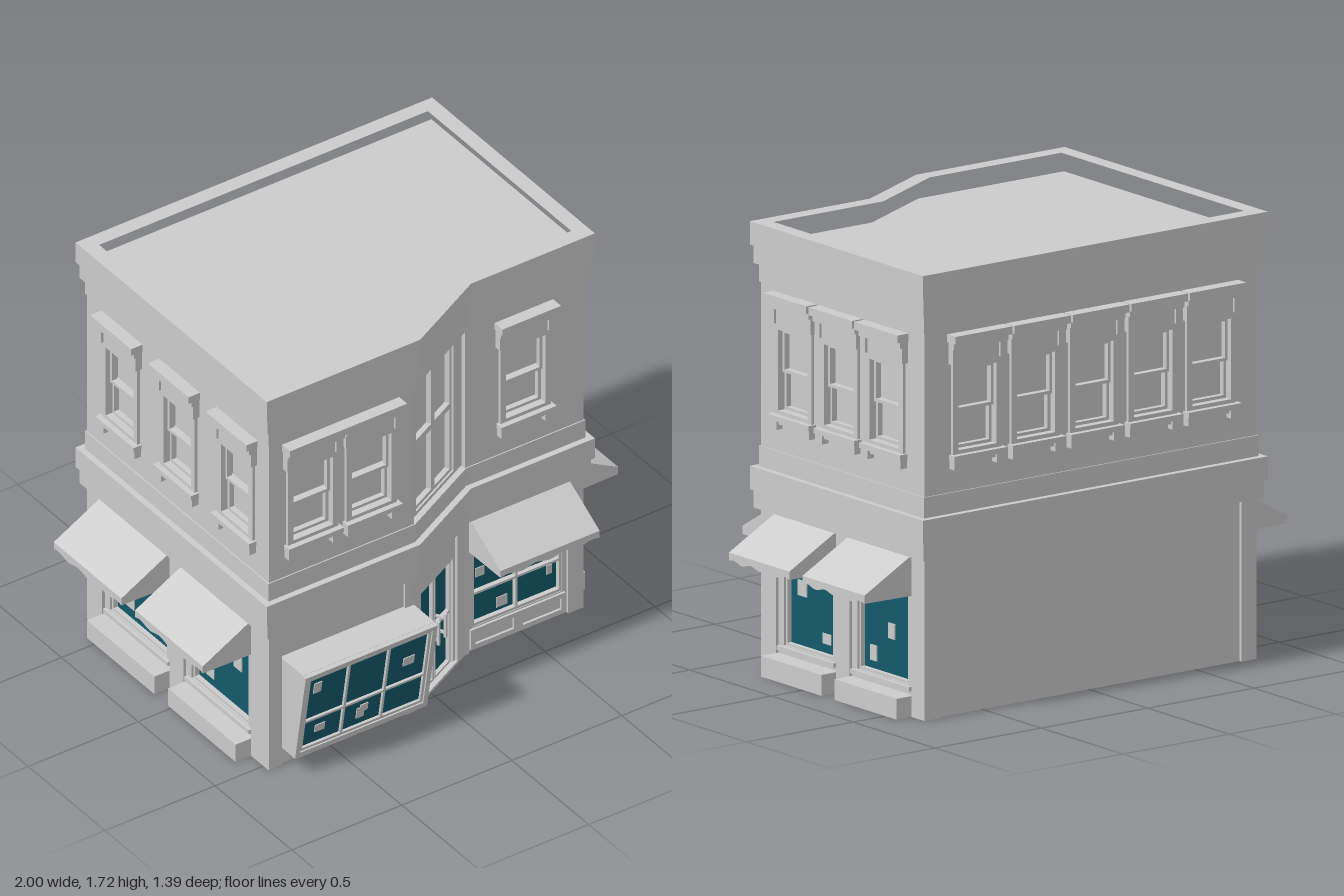
import * as THREE from 'three';

const grey = new THREE.MeshStandardMaterial({ color: 0xcccccc });
const sheet = new THREE.MeshStandardMaterial({ color: 0xcccccc, side: THREE.DoubleSide });
const teal = new THREE.MeshStandardMaterial({ color: 0x14596a });

function add(parent, name, geo, mat = grey) {
  const m = new THREE.Mesh(geo, mat);
  m.name = name;
  parent.add(m);
  return m;
}

function box(parent, name, x0, x1, y0, y1, z0, z1, mat = grey) {
  const g = new THREE.BoxGeometry(x1 - x0, y1 - y0, z1 - z0);
  g.translate((x0 + x1) / 2, (y0 + y1) / 2, (z0 + z1) / 2);
  return add(parent, name, g, mat);
}

const rect = (C, [x0, x1, y0, y1]) => new C([[x0, y0], [x1, y0], [x1, y1], [x0, y1]].map(p => new THREE.Vector2(...p)));

// flat plate with rectangular holes, from z0 to z1
function plate(parent, name, r, holes, z0, z1) {
  const s = rect(THREE.Shape, r);
  s.holes = holes.map(h => rect(THREE.Path, h));
  const g = new THREE.ExtrudeGeometry(s, { depth: z1 - z0, bevelEnabled: false });
  g.translate(0, 0, z0);
  return add(parent, name, g);
}

// glazing frame with cols x rows openings
function grid(parent, name, [x0, x1, y0, y1], cols, rows, border, bar, z0, z1) {
  const w = (x1 - x0 - 2 * border - (cols - 1) * bar) / cols;
  const h = (y1 - y0 - 2 * border - (rows - 1) * bar) / rows;
  const holes = [];
  for (let i = 0; i < cols; i++) for (let j = 0; j < rows; j++) {
    const x = x0 + border + i * (w + bar), y = y0 + border + j * (h + bar);
    holes.push([x, x + w, y, y + h]);
  }
  plate(parent, name, [x0, x1, y0, y1], holes, z0, z1);
}

// paper notices on the glass: [centre x, centre y, width, height]
function notices(parent, list, z) {
  for (const [x, y, w, h] of list)
    box(parent, 'windowNotice', x - w / 2, x + w / 2, y - h / 2, y + h / 2, z, z + 0.004);
}

// building outline pushed outward by o, with the slanted entrance side
const A = [-0.12, 0.535], B = [0.24, 0.35];
function outline(o, C = THREE.Shape) {
  return new C([[-0.78 - o, -0.65 - o], [0.78 + o, -0.65 - o], [0.78 + o, B[1] + o],
    [B[0] + 0.242 * o, B[1] + o], [A[0] + 0.242 * o, A[1] + o], [-0.78 - o, A[1] + o]]
    .map(([x, z]) => new THREE.Vector2(x, -z)));
}
function storey(parent, name, y0, y1, o, inner) {
  const s = outline(o);
  if (inner !== undefined) s.holes.push(outline(inner, THREE.Path));
  const g = new THREE.ExtrudeGeometry(s, { depth: y1 - y0, bevelEnabled: false });
  g.rotateX(-Math.PI / 2);
  g.translate(0, y0, 0);
  add(parent, name, g);
}

// sash window with surround, sill and bracketed hood
function sashWindow(parent, cx) {
  const g = new THREE.Group();
  g.name = 'sashWindow';
  g.position.x = cx;
  parent.add(g);
  plate(g, 'surround', [-0.115, 0.115, 1, 1.36], [[-0.09, 0.09, 1.02, 1.33]], -0.02, 0.012);
  grid(g, 'upperSash', [-0.09, 0.09, 1.165, 1.33], 1, 1, 0.012, 0, -0.03, -0.008);
  grid(g, 'lowerSash', [-0.09, 0.09, 1.02, 1.175], 1, 1, 0.012, 0, -0.04, -0.018);
  box(g, 'sill', -0.125, 0.125, 0.985, 1.005, -0.01, 0.035);
  box(g, 'sillApron', -0.1, 0.1, 0.97, 0.985, -0.01, 0.02);
  box(g, 'hoodPanel', -0.1, 0.1, 1.355, 1.42, -0.01, 0.018);
  box(g, 'hoodLedge', -0.128, 0.128, 1.415, 1.44, -0.01, 0.036);
  box(g, 'hoodCrown', -0.133, 0.133, 1.44, 1.47, -0.01, 0.052);
  for (const s of [-1, 1]) {
    box(g, 'sillBracket', s * 0.1 - 0.022, s * 0.1 + 0.022, 0.95, 0.985, -0.01, 0.03);
    box(g, 'hoodBracket', s * 0.112 - 0.016, s * 0.112 + 0.016, 1.355, 1.415, -0.01, 0.028);
  }
}

// sloping awning with wavy valance and side cheeks
function awning(parent, x0, x1, d) {
  const g = new THREE.PlaneGeometry(x1 - x0, 1, 32, 2), p = g.attributes.position;
  for (let i = 0; i < p.count; i++) {
    const row = Math.floor(i / 33), x = p.getX(i) + (x0 + x1) / 2;
    const wave = 0.006 * Math.sin((x - x0) / (x1 - x0) * Math.PI * 7);
    p.setXYZ(i, x, [0.62, 0.5, 0.468 + wave][row], row ? d : 0);
  }
  const flat = g.toNonIndexed();
  flat.computeVertexNormals();
  add(parent, 'awningCover', flat, sheet);
  const cheek = new THREE.Shape([[0, 0.62], [0, 0.465], [d, 0.468], [d, 0.5]].map(q => new THREE.Vector2(-q[0], q[1])));
  for (const x of [x0, x1]) {
    const c = new THREE.ShapeGeometry(cheek);
    c.rotateY(Math.PI / 2);
    c.translate(x, 0, 0);
    add(parent, 'awningCheek', c, sheet);
  }
}

// one side of the building; local z points outward
function facade(root, name, x, z, turn, x0, x1, { piers, shops = [], windows = [] }) {
  const g = new THREE.Group();
  g.name = name;
  g.position.set(x, 0, z);
  g.rotation.y = turn;
  root.add(g);
  for (const [a, b] of piers) box(g, 'pier', a, b, 0, 0.62, -0.05, 0);
  plate(g, 'groundWall', [x0 + 0.01, x1 - 0.01, 0, 0.62], shops, -0.05, -0.012);
  if (windows) {
    plate(g, 'upperWall', [x0, x1, 0.8, 1.56], windows.map(c => [c - 0.1, c + 0.1, 1.01, 1.345]), -0.05, 0);
    windows.forEach(c => sashWindow(g, c));
  }
  return g;
}

// large side shop window with awning and plinth
function sideShop(g, a, b, papers) {
  const r = [a + 0.035, b - 0.035, 0.115, 0.465];
  box(g, 'shopGlass', ...r, -0.055, -0.04, teal);
  grid(g, 'shopFrame', r, 1, 1, 0.01, 0, -0.042, -0.02);
  box(g, 'plinth', a, b, 0, 0.08, -0.02, 0.07);
  box(g, 'shopSill', a + 0.01, b - 0.01, 0.095, 0.112, -0.02, 0.004);
  awning(g, a, b, 0.22);
  notices(g, papers, -0.04);
}

export function createModel() {
  const root = new THREE.Group();
  root.name = 'cornerShopBuilding';

  // cores, cornices and parapet
  storey(root, 'groundCore', 0, 0.62, -0.05);
  storey(root, 'upperCore', 0.78, 1.56, -0.05);
  [['corniceBase', 0.62, 0.69, 0.02], ['cornice', 0.69, 0.78, 0.03], ['upperBase', 0.78, 0.86, 0.005],
    ['frieze', 1.49, 1.56, 0.005], ['topCorniceBase', 1.56, 1.63, 0.02]].forEach(a => storey(root, ...a));
  storey(root, 'parapet', 1.63, 1.72, 0.03, -0.033);

  // two sides
  const hole = ([a, b]) => [a + 0.035, b - 0.035, 0.115, 0.465];
  const sides = [
    ['leftSide', 0.78, Math.PI / 2, -0.35, 0.65, [[-0.26, 0.11], [0.19, 0.57]], [-0.14, 0.14, 0.42],
      [[[-0.145, 0.345, 0.055, 0.06], [0.005, 0.18, 0.05, 0.04]], [[0.4, 0.29, 0.04, 0.06], [0.29, 0.185, 0.04, 0.06]]]],
    ['rightSide', -0.78, -Math.PI / 2, -0.65, 0.535, [[-0.55, -0.11], [-0.02, 0.42]], [-0.42, -0.045, 0.33],
      [[[-0.42, 0.2, 0.05, 0.06], [-0.25, 0.3, 0.05, 0.06]], [[0.1, 0.18, 0.05, 0.04], [0.28, 0.33, 0.05, 0.06]]]],
  ];
  for (const [name, x, turn, x0, x1, bays, windows, papers] of sides) {
    const piers = [[x0, bays[0][0]], [bays[0][1], bays[1][0]], [bays[1][1], x1]];
    const g = facade(root, name, x, 0, turn, x0, x1, { piers, shops: bays.map(hole), windows });
    bays.forEach(([a, b], i) => sideShop(g, a, b, papers[i]));
  }

  // back
  facade(root, 'back', 0, -0.65, Math.PI, -0.78, 0.78,
    { piers: [[-0.78, -0.71], [0.71, 0.78]], windows: [-0.54, -0.265, 0.01, 0.285, 0.56] });

  // front, with the leaning display window
  const fl = facade(root, 'frontRight', 0, A[1], 0, -0.78, A[0],
    { piers: [[-0.78, -0.72], [-0.16, A[0]]], windows: [-0.587, -0.32] });
  const profile = new THREE.Shape([[-0.02, 0.08], [0.065, 0.08], [0.135, 0.49], [-0.02, 0.49]].map(q => new THREE.Vector2(-q[0], q[1])));
  const body = new THREE.ExtrudeGeometry(profile, { depth: 0.6, bevelEnabled: false });
  body.rotateY(Math.PI / 2);
  body.translate(-0.72, 0, 0);
  add(fl, 'displayBody', body);
  const lean = new THREE.Group();
  lean.name = 'displayWindow';
  lean.position.set(0, 0.08, 0.065);
  lean.rotation.x = Math.atan2(0.07, 0.41);
  fl.add(lean);
  box(lean, 'displayGlass', -0.69, -0.15, 0.03, 0.385, -0.01, 0.003, teal);
  plate(lean, 'displaySurround', [-0.72, -0.12, 0, 0.415], [[-0.7, -0.14, 0.025, 0.395]], -0.002, 0.02);
  grid(lean, 'displayBars', [-0.7, -0.14, 0.025, 0.395], 3, 1, 0.012, 0.01, 0, 0.014);
  box(lean, 'displayRail', -0.7, -0.14, 0.165, 0.175, 0, 0.014);
  notices(lean, [[-0.645, 0.325, 0.035, 0.05], [-0.61, 0.105, 0.045, 0.035], [-0.425, 0.095, 0.035, 0.05],
    [-0.41, 0.115, 0.035, 0.035], [-0.225, 0.27, 0.05, 0.04]], 0.003);

  // set-back front with an awning
  const shop = [0.28, 0.69, 0.105, 0.465];
  const fr = facade(root, 'frontLeft', 0, B[1], 0, B[0], 0.78,
    { piers: [[B[0], 0.26], [0.71, 0.78]], shops: [shop], windows: [0.508] });
  box(fr, 'shopGlass', ...shop, -0.055, -0.035, teal);
  grid(fr, 'shopBars', shop, 2, 1, 0.012, 0.01, -0.036, -0.015);
  box(fr, 'shopRail', 0.28, 0.69, 0.247, 0.257, -0.036, -0.015);
  grid(fr, 'stallPanels', [0.27, 0.7, 0.01, 0.1], 2, 1, 0.02, 0.04, -0.012, -0.002);
  notices(fr, [[0.33, 0.33, 0.04, 0.04], [0.43, 0.155, 0.05, 0.045], [0.645, 0.21, 0.025, 0.04]], -0.035);
  awning(fr, 0.26, 0.71, 0.205);

  // slanted entrance
  const turn = Math.atan2(A[1] - B[1], B[0] - A[0]);
  const en = facade(root, 'entrance', (A[0] + B[0]) / 2, (A[1] + B[1]) / 2, turn, -0.2025, 0.2025,
    { piers: [[-0.2025, -0.145], [0.145, 0.2025]], shops: [[-0.13, 0.13, 0.012, 0.485]], windows: null });
  for (const s of [-1, 1]) {
    const r = s < 0 ? [-0.13, -0.002, 0.012, 0.485] : [0.002, 0.13, 0.012, 0.485];
    box(en, 'doorGlass', ...r, -0.055, -0.038, teal);
    grid(en, 'doorLeaf', r, 1, 2, 0.01, 0.014, -0.04, -0.022);
    box(en, 'doorHandle', s * 0.028 - 0.006, s * 0.028 + 0.006, 0.2, 0.305, 0.005, 0.017);
    for (const y of [0.22, 0.285]) box(en, 'handleMount', s * 0.028 - 0.005, s * 0.028 + 0.005, y - 0.005, y + 0.005, -0.03, 0.01);
  }
  box(en, 'doorStep', -0.145, 0.145, 0, 0.012, -0.03, 0);

  // tall panelled window over the entrance
  plate(en, 'upperWall', [-0.215, 0.215, 0.8, 1.56], [[-0.15, 0.15, 0.875, 1.48]], -0.06, -0.02);
  grid(en, 'tallWindow', [-0.15, 0.15, 0.875, 1.48], 2, 2, 0.015, 0.025, -0.055, -0.028);
  return root;
}
